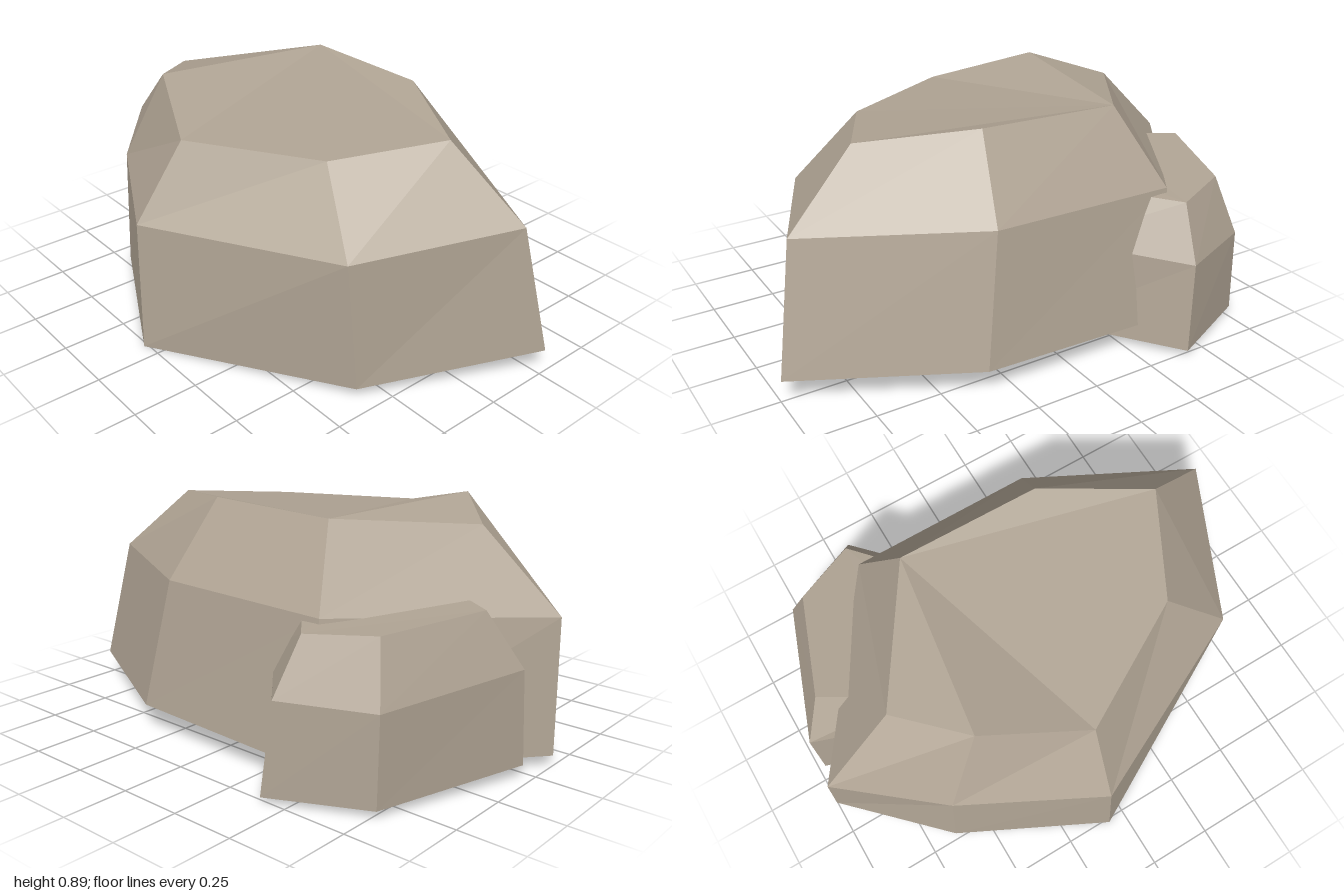
import * as THREE from 'three';

// Faceted boulder: closed solid lofted through rings of [x, y, z] points,
// listed bottom to top, each running clockwise when seen from above.
function boulder(name, rings, material) {
  const n = rings[0].length;
  const positions = rings.flat(2);
  const index = [];
  for (let r = 0; r < rings.length - 1; r++) {
    for (let i = 0; i < n; i++) {
      const a = r * n + i, b = r * n + (i + 1) % n;
      index.push(b, a, a + n, b, a + n, b + n);
    }
  }
  // Flat underside and top
  const t = (rings.length - 1) * n;
  for (let i = 1; i < n - 1; i++) {
    index.push(0, i, i + 1, t, t + i + 1, t + i);
  }
  const indexed = new THREE.BufferGeometry();
  indexed.setAttribute('position', new THREE.Float32BufferAttribute(positions, 3));
  indexed.setIndex(index);
  const geometry = indexed.toNonIndexed();
  geometry.computeVertexNormals();
  const mesh = new THREE.Mesh(geometry, material);
  mesh.name = name;
  return mesh;
}

export function createModel() {
  const group = new THREE.Group();
  group.name = 'rocks';
  const stone = new THREE.MeshStandardMaterial({ color: 0xb0a494 });
  stone.name = 'warm grey stone';
  stone.flatShading = true;

  // Large seven-sided rock
  group.add(boulder('largeRock', [
    [[-0.5, 0.09, -0.62], [0.36, 0.1, -0.6], [1, 0.095, -0.27], [0.68, 0.045, 0.36],
      [-0.07, 0, 0.765], [-0.64, 0.02, 0.48], [-1, 0.04, 0.12]],
    [[-0.46, 0.59, -0.53], [0.28, 0.595, -0.525], [0.91, 0.59, -0.2], [0.65, 0.545, 0.385],
      [-0.09, 0.51, 0.74], [-0.61, 0.52, 0.47], [-0.97, 0.535, 0.175]],
    [[-0.34, 0.88, -0.34], [0.22, 0.89, -0.325], [0.62, 0.845, -0.11], [0.42, 0.81, 0.28],
      [-0.06, 0.8, 0.55], [-0.44, 0.895, 0.375], [-0.66, 0.83, 0.135]],
  ], stone));

  // Small rock sunk into the back right corner of the large one
  group.add(boulder('smallRock', [
    [[-0.41, 0.022, -0.77], [-0.06, 0.045, -0.35], [-0.2, 0.1, -0.1],
      [-0.55, 0.08, 0.1], [-0.97, 0.05, -0.04], [-0.77, 0.028, -0.61]],
    [[-0.44, 0.36, -0.74], [-0.1, 0.39, -0.36], [-0.25, 0.42, -0.1],
      [-0.55, 0.42, 0.1], [-0.96, 0.4, -0.05], [-0.77, 0.355, -0.6]],
    [[-0.47, 0.565, -0.63], [-0.2, 0.58, -0.32], [-0.3, 0.6, -0.12],
      [-0.55, 0.61, 0.05], [-0.85, 0.605, -0.13], [-0.71, 0.58, -0.525]],
  ], stone));

  return group;
}
